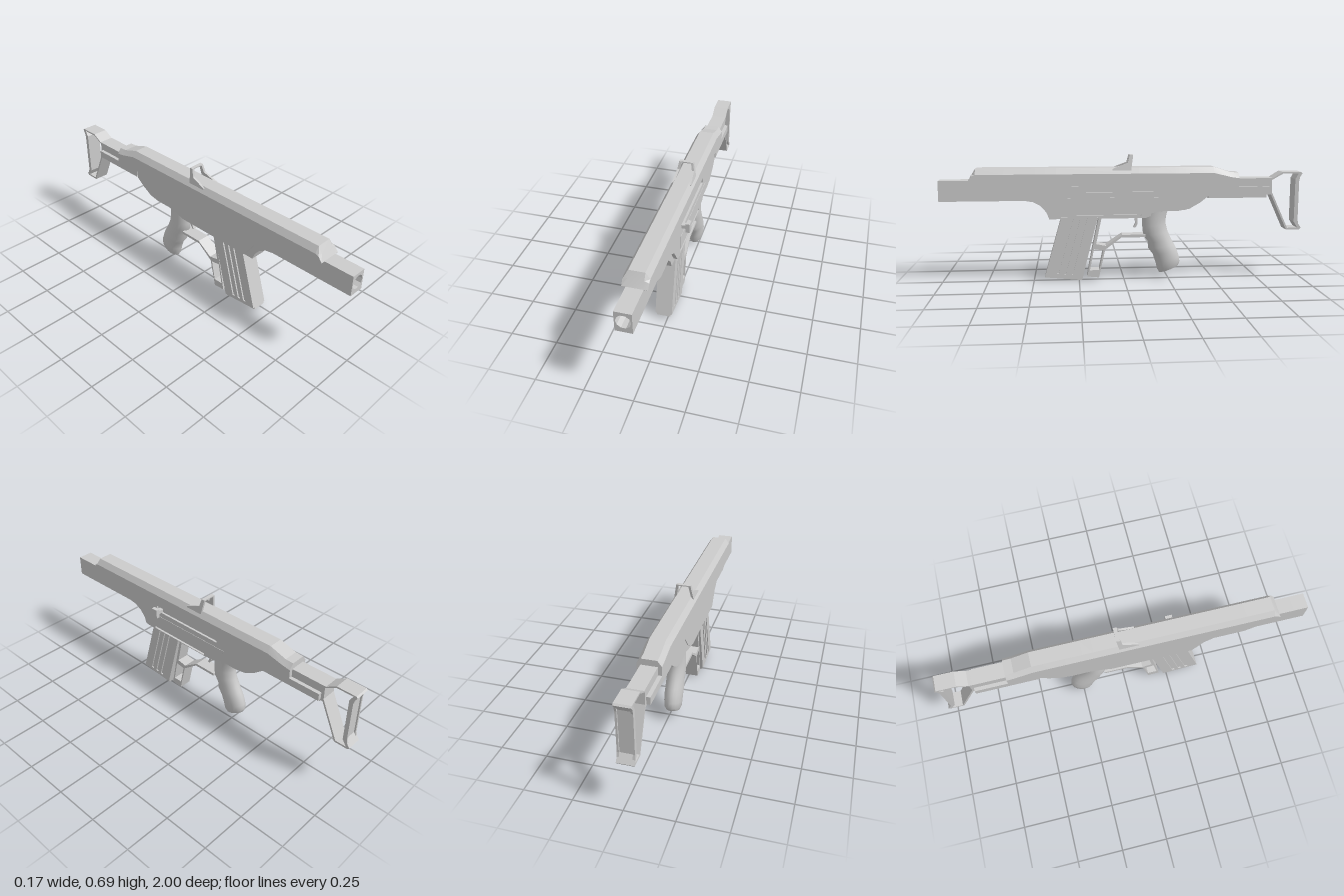
import * as THREE from 'three';
import { toCreasedNormals } from 'three/addons/utils/BufferGeometryUtils.js';

const material = new THREE.MeshStandardMaterial({ color: 0xcccccc, side: THREE.DoubleSide });

export function createModel() {
  const model = new THREE.Group();
  const body = new THREE.Group();
  body.name = 'body';
  body.position.x = -0.021;
  model.add(body);

  const add = (name, geometry) => {
    const mesh = new THREE.Mesh(geometry, material);
    mesh.name = name;
    body.add(mesh);
    return mesh;
  };

  // Side profile of [z, y] points, extruded across x from x0 to x1
  const profile = (points, x0, x1, holes = []) => {
    const to2 = (list) => list.map(([z, y]) => new THREE.Vector2(-z, y));
    const shape = new THREE.Shape(to2(points));
    holes.forEach((h) => shape.holes.push(new THREE.Path(to2(h))));
    const geo = new THREE.ExtrudeGeometry(shape, { depth: x1 - x0, bevelEnabled: false });
    return geo.rotateY(Math.PI / 2).translate(x0, 0, 0);
  };

  const box = (name, x0, x1, y0, y1, z0, z1) =>
    add(name, new THREE.BoxGeometry(x1 - x0, y1 - y0, z1 - z0)
      .translate((x0 + x1) / 2, (y0 + y1) / 2, (z0 + z1) / 2));

  const rect = (z0, z1, y0, y1) => [[z0, y0], [z1, y0], [z1, y1], [z0, y1]];

  // Skin over matching rings of points, closed at both ends
  const loft = (rings, crease) => {
    const n = rings[0].length, last = (rings.length - 1) * n, index = [];
    for (let i = 0; i < rings.length - 1; i++) {
      for (let j = 0; j < n; j++) {
        const a = i * n + j, b = i * n + (j + 1) % n;
        index.push(a, b, b + n, a, b + n, a + n);
      }
    }
    for (let j = 1; j < n - 1; j++) {
      index.push(0, j + 1, j, last, last + j, last + j + 1);
    }
    const geo = new THREE.BufferGeometry();
    geo.setAttribute('position', new THREE.Float32BufferAttribute(rings.flat(2), 3));
    geo.setIndex(index);
    return toCreasedNormals(geo, crease);
  };

  // Outer shell: z, lower edge, shoulder and top
  const W = 0.062, T = 0.04, C = 0.05;
  const sections = [
    [0.84, 0.565, 0.566, 0.567], [0.82, 0.557, 0.592, 0.6], [0.8, 0.549, 0.6, 0.632],
    [0.65, 0.487, 0.6, 0.632], [0.48, 0.487, 0.6, 0.632], [0.43, 0.455, 0.6, 0.632],
    [0.37, 0.37, 0.6, 0.632], [-0.08, 0.37, 0.6, 0.632], [-0.13, 0.388, 0.6, 0.632],
    [-0.17, 0.415, 0.6, 0.632], [-0.23, 0.485, 0.6, 0.632], [-0.28, 0.515, 0.6, 0.632],
    [-0.495, 0.52, 0.6, 0.632], [-0.59, 0.52, 0.577, 0.602], [-0.635, 0.52, 0.57, 0.6],
  ];
  add('shell', loft(sections.map(([z, b, s, t]) =>
    [[-W, b, z], [-W, s, z], [-T, t, z], [T, t, z], [W, s, z], [C, s, z], [C, b, z]]), 0.2));

  // Left side plate with the two long slots
  const outline = [...sections.map(([z, b]) => [z, b]),
    ...sections.map(([z, , s]) => [z, s]).reverse()];
  add('sidePlate', profile(outline, C, W,
    [rect(0.29, -0.16, 0.5, 0.532), rect(0.31, -0.07, 0.374, 0.388)]));
  add('sidePanel', profile([[0.31, 0.393], [-0.135, 0.393], [-0.17, 0.418], [-0.215, 0.47], [0.31, 0.47]],
    W, W + 0.002));

  // Receiver core from the barrel to the stock
  add('receiver', profile([
    [0.92, 0.455], [0.54, 0.455], [0.495, 0.447], [0.455, 0.425], [0.425, 0.39], [0.41, 0.352],
    [-0.12, 0.352], [-0.22, 0.39], [-0.34, 0.395], [-0.42, 0.435], [-0.47, 0.475],
    [-0.82, 0.475], [-0.82, 0.567], [0.92, 0.567]], -0.042, 0.042));
  add('belly', profile([
    [-0.09, 0.365], [-0.2, 0.392], [-0.3, 0.392], [-0.36, 0.403], [-0.42, 0.437], [-0.47, 0.477],
    [-0.47, 0.52], [-0.2, 0.52]], -0.057, 0.057));

  // Muzzle block with a ten-sided bore
  const muzzle = new THREE.Shape([[-0.042, 0.455], [0.042, 0.455], [0.042, 0.567], [-0.042, 0.567]]
    .map((p) => new THREE.Vector2(...p)));
  muzzle.holes.push(new THREE.Path(Array.from({ length: 10 }, (_, i) => {
    const a = i * Math.PI / 5;
    return new THREE.Vector2(0.037 * Math.cos(a), 0.515 + 0.037 * Math.sin(a));
  })));
  add('muzzle', new THREE.ExtrudeGeometry(muzzle, { depth: 0.08, bevelEnabled: false }).translate(0, 0, 0.92));

  // Rear rails
  for (const s of [-1, 1]) {
    const xs = [s * 0.04, s * W].sort((a, b) => a - b);
    box('sideRail', xs[0], xs[1], 0.482, 0.522, -0.81, -0.47);
  }
  box('lowerRail', -0.03, 0.03, 0.457, 0.477, -0.8, -0.47);

  // Charging handle
  box('handleStem', 0.045, 0.085, 0.5, 0.52, 0.255, 0.28);
  box('handleKnob', 0.083, 0.104, 0.484, 0.536, 0.25, 0.288);

  // Sight: two leaning legs and a thin top bar
  for (const s of [-1, 1]) {
    const geo = profile([[0.065, 0.618], [0.065, 0.625], [-0.02, 0.657], [-0.03, 0.7],
      [-0.05, 0.7], [-0.038, 0.618]], -0.006, 0.006);
    const p = geo.attributes.position;
    for (let i = 0; i < p.count; i++) {
      p.setX(i, p.getX(i) + s * (0.047 - 0.18 * (p.getY(i) - 0.618)));
    }
    geo.computeVertexNormals();
    add('sightLeg', geo);
  }
  box('sightBar', -0.036, 0.036, 0.694, 0.7, -0.05, -0.03);

  // Magazine: slanted core with ribs separated by grooves
  const mag = (u, v) => [0.345 - 0.2 * u + v * (0.095 - 0.005 * u), 0.36 - v * (0.335 + 0.02 * u)];
  const slab = (u0, u1, v0, v1) => [mag(u0, v0), mag(u1, v0), mag(u1, v1), mag(u0, v1)];
  add('magazine', profile(slab(0, 1, 0, 1), -0.037, 0.037));
  for (const [u0, u1] of [[0, 0.26], [0.34, 0.45], [0.53, 0.64], [0.72, 1]]) {
    add('magazineRib', profile(slab(u0, u1, 0, 0.97), -0.045, 0.045));
  }
  add('magazineBand', profile(slab(0, 1, 0.92, 0.97), -0.045, 0.045));

  // Trigger guard with its slotted front leg
  add('triggerGuard', profile([
    [0.14, 0.355], [0.172, 0.2], [0.205, 0.025], [0.14, 0.018], [0.105, 0.175], [0.015, 0.243],
    [-0.12, 0.243], [-0.12, 0.258], [0.01, 0.258], [0.1, 0.197], [0.155, 0.208], [0.124, 0.355]],
  -0.036, 0.036, [[[0.167, 0.18], [0.115, 0.172], [0.138, 0.06], [0.19, 0.06]]]));
  add('trigger', profile([
    [-0.06, 0.355], [-0.066, 0.32], [-0.055, 0.295], [-0.066, 0.293], [-0.078, 0.315], [-0.078, 0.355]],
  -0.012, 0.012));

  // Grip: front z, back z, front y, back y, half width
  const grip = [
    [-0.1, -0.255, 0.4, 0.41, 0.045], [-0.105, -0.238, 0.345, 0.355, 0.045],
    [-0.105, -0.236, 0.3, 0.315, 0.047], [-0.11, -0.248, 0.25, 0.27, 0.048],
    [-0.138, -0.268, 0.21, 0.225, 0.048], [-0.138, -0.285, 0.175, 0.195, 0.049],
    [-0.165, -0.3, 0.14, 0.165, 0.049], [-0.182, -0.314, 0.09, 0.125, 0.048],
    [-0.19, -0.318, 0.055, 0.095, 0.045], [-0.202, -0.31, 0.034, 0.075, 0.036],
  ];
  add('grip', loft(grip.map(([zf, zb, yf, yb, w]) => Array.from({ length: 20 }, (_, i) => {
    const a = i * Math.PI / 10, k = (1 + Math.sin(a)) / 2;
    return [w * Math.cos(a), yb + (yf - yb) * k, zb + (zf - zb) * k];
  })), 0.9));

  // Open shoulder stock with a hollowed butt
  add('stock', profile([
    [-0.81, 0.475], [-0.81, 0.567], [-0.83, 0.567], [-0.885, 0.6], [-0.99, 0.6], [-0.998, 0.592],
    [-0.972, 0.555], [-0.972, 0.325], [-1, 0.285], [-0.992, 0.275], [-0.915, 0.275], [-0.822, 0.475]],
  -0.042, 0.042, [[
    [-0.826, 0.557], [-0.887, 0.591], [-0.975, 0.591], [-0.958, 0.56],
    [-0.958, 0.32], [-0.98, 0.285], [-0.921, 0.285], [-0.826, 0.49]]]));
  for (const s of [-1, 1]) {
    add('buttRim', profile([
      [-0.965, 0.57], [-0.99, 0.592], [-0.98, 0.55], [-0.98, 0.33], [-0.99, 0.285], [-0.965, 0.315]],
    s * 0.037 - 0.005, s * 0.037 + 0.005));
  }
  return model;
}
